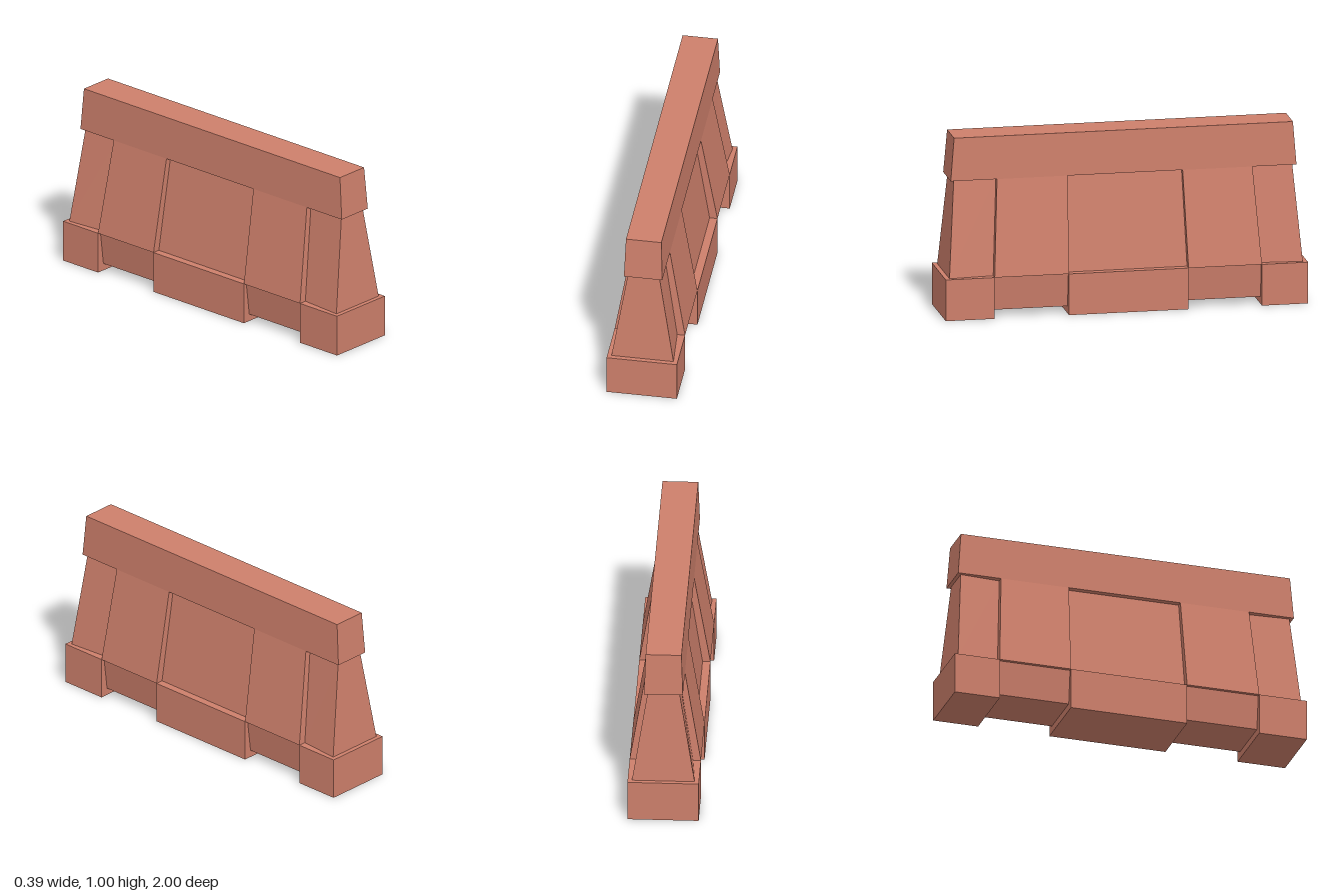
import * as THREE from 'three';

const material = new THREE.MeshStandardMaterial({ color: 0xcd7f6b, flatShading: true });

// Four-cornered ring of [x, z] points, counterclockwise seen from above
const rect = (w, z0, z1) => [[w, z1], [w, z0], [-w, z0], [-w, z1]];

// Solid between a lower and an upper ring with the same number of points
function loft(name, y0, lower, y1, upper) {
  const pos = [];
  const put = (p, y) => pos.push(p[0], y, p[1]);
  lower.forEach((a, i) => {
    const j = (i + 1) % lower.length;
    const b = lower[j], c = upper[j], d = upper[i];
    put(a, y0); put(b, y0); put(c, y1);
    put(a, y0); put(c, y1); put(d, y1);
  });
  const flat = (ring) => ring.map((p) => new THREE.Vector2(p[0], -p[1]));
  for (const [i, j, k] of THREE.ShapeUtils.triangulateShape(flat(upper), [])) {
    put(upper[i], y1); put(upper[j], y1); put(upper[k], y1);
  }
  for (const [i, j, k] of THREE.ShapeUtils.triangulateShape(flat(lower), [])) {
    put(lower[i], y0); put(lower[k], y0); put(lower[j], y0);
  }
  const geo = new THREE.BufferGeometry();
  geo.setAttribute('position', new THREE.Float32BufferAttribute(pos, 3));
  geo.computeVertexNormals();
  const mesh = new THREE.Mesh(geo, material);
  mesh.name = name;
  return mesh;
}

export function createModel() {
  const group = new THREE.Group();
  group.name = 'roadBarrier';
  const baseTop = 0.23, capBottom = 0.757, top = 0.995, slotY = 0.04;

  // Feet
  const foot = (name, z0, z1) => group.add(loft(name, 0, rect(0.193, z0, z1), baseTop, rect(0.193, z0, z1)));
  foot('frontFoot', 0.73, 1);
  foot('middleFoot', -0.34, 0.32);
  foot('backFoot', -1, -0.745);

  // Recessed walls between the feet and the sloping ribs above them
  const bays = [
    { side: 'front', low: [0.32, 0.73], high: [0.31, 0.7] },
    { side: 'back', low: [-0.745, -0.34], high: [-0.71, -0.325] },
  ];
  for (const { side, low, high } of bays) {
    group.add(loft(side + 'SlotWall', slotY, rect(0.15, ...low), baseTop, rect(0.174, ...low)));
    group.add(loft(side + 'Rib', baseTop, rect(0.193, ...low), capBottom, rect(0.105, ...high)));
  }

  // Recessed core, flaring slightly towards both ends
  const coreRing = (end, inner, zs) => [
    [end, zs[0]], [inner, zs[1]], [inner, zs[2]], [end, zs[3]],
    [-end, zs[3]], [-inner, zs[2]], [-inner, zs[1]], [-end, zs[0]],
  ];
  group.add(loft('core',
    baseTop, coreRing(0.17, 0.15, [0.975, 0.73, -0.745, -0.975]),
    capBottom, coreRing(0.086, 0.072, [0.935, 0.7, -0.71, -0.933])));

  // Top beam
  group.add(loft('topBeam', capBottom, rect(0.105, -0.953, 0.955), top, rect(0.097, -0.935, 0.935)));
  return group;
}
